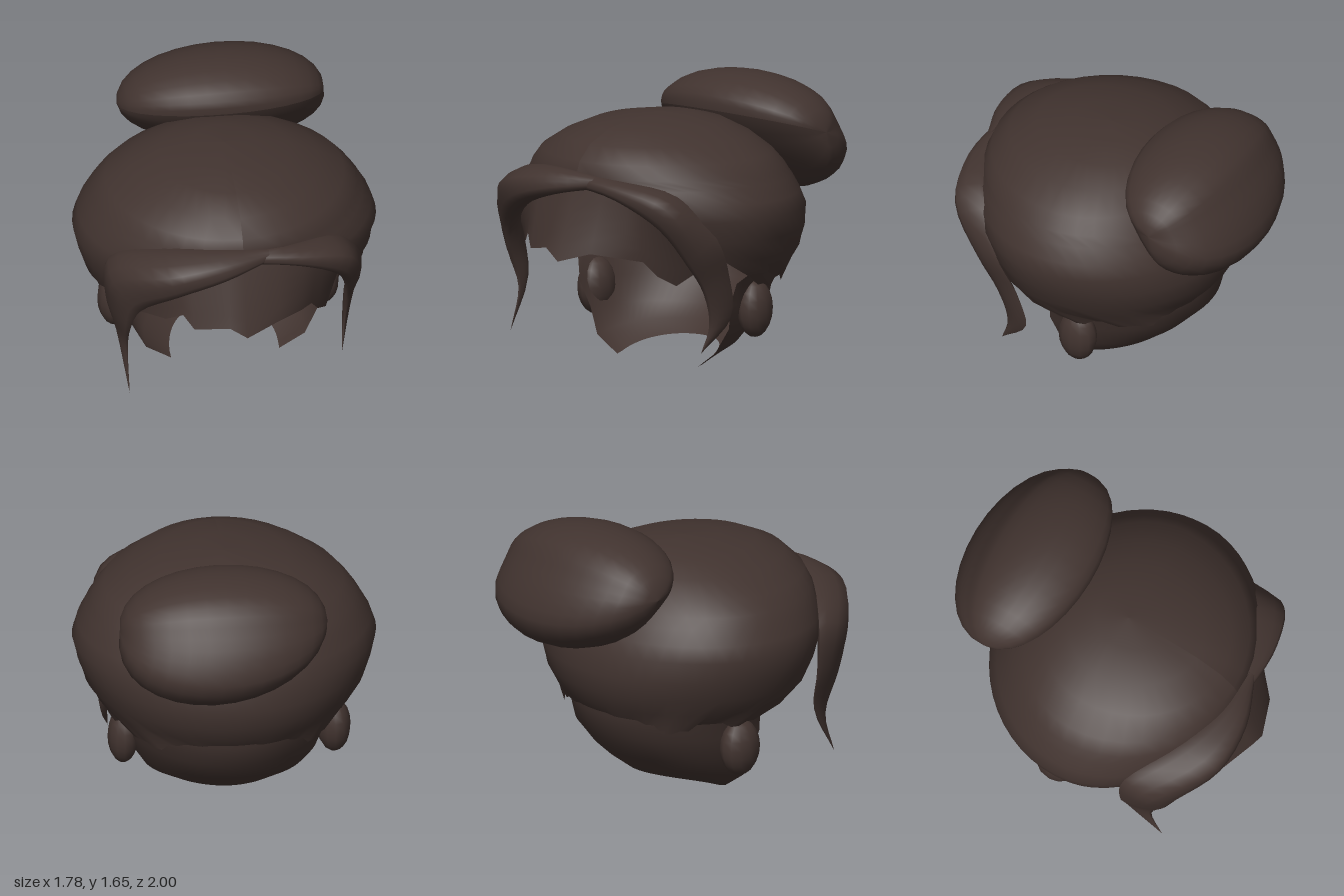
import * as THREE from 'three';

const hair = new THREE.MeshStandardMaterial({ color: 0x41332f, roughness: 0.9, side: THREE.DoubleSide });

// Smooth surface through a list of rows, each holding the same number of points
function loft(name, rows) {
  const n = rows[0].length, pos = [], idx = [];
  rows.forEach(r => r.forEach(p => pos.push(...p)));
  for (let i = 0; i < rows.length - 1; i++) {
    for (let j = 0; j < n - 1; j++) {
      const a = i * n + j, b = a + n;
      idx.push(a, b, a + 1, a + 1, b, b + 1);
    }
  }
  const g = new THREE.BufferGeometry();
  g.setAttribute('position', new THREE.Float32BufferAttribute(pos, 3));
  g.setIndex(idx);
  g.computeVertexNormals();
  const m = new THREE.Mesh(g, hair);
  m.name = name;
  return m;
}

// Horizontal arc around the back of the head, open towards the front from z = open
function arc(y, rx, zb, zf, open, drop = () => 0, n = 40) {
  const cz = 0.1;
  let T = Math.PI;
  if (open < zf) {
    T = open >= cz ? Math.PI / 2 + Math.asin((open - cz) / (zf - cz)) : Math.acos((cz - open) / (cz - zb));
  }
  return Array.from({ length: n + 1 }, (_, j) => {
    const s = j / n * 2 - 1, c = Math.cos(s * T);
    return [rx * Math.sin(s * T), y + drop(s), c > 0 ? cz - (cz - zb) * c : cz - (zf - cz) * c];
  });
}

const curve = (points, closed = false) =>
  new THREE.CatmullRomCurve3(points.map(p => new THREE.Vector3(...p)), closed);

// Swept band with a rounded section, guided by rails that meet in a pointed tip
function band(name, rails, tip) {
  const guides = rails.map(r => curve([...r, tip]));
  const rows = [];
  for (let i = 0; i <= 24; i++) {
    const section = guides.map(g => g.getPoint(i / 24).toArray());
    const ring = i < 24 ? curve(section, true).getPoints(12) : Array(13).fill(new THREE.Vector3(...tip));
    rows.push(ring.map(p => p.toArray()));
  }
  return loft(name, rows);
}

function curl(name, centre, radii) {
  const m = new THREE.Mesh(new THREE.SphereGeometry(1, 12, 10), hair);
  m.position.set(...centre);
  m.scale.set(...radii);
  m.name = name;
  return m;
}

export function createModel() {
  const model = new THREE.Group();
  model.name = 'hair';

  // Cap: closed over the crown, then open around the face, with an uneven hem
  const hemSteps = [0.03, 0.03, 0.02, 0.02, 0, -0.05, -0.03, 0.01, 0.01, -0.02, 0];
  const hem = s => hemSteps[Math.round(Math.abs(s) * 10)];
  model.add(loft('cap', [
    arc(1.475, 0.001, 0.1, 0.1, 9),
    arc(1.465, 0.18, -0.1, 0.34, 9),
    arc(1.43, 0.38, -0.25, 0.56, 9),
    arc(1.36, 0.55, -0.38, 0.72, 9),
    arc(1.27, 0.7, -0.48, 0.81, 9),
    arc(1.19, 0.77, -0.55, 0.84, 9),
    arc(1.13, 0.81, -0.59, 0.85, 0.8),
    arc(1.04, 0.86, -0.64, 0.85, 0.73),
    arc(0.95, 0.89, -0.68, 0.82, 0.65),
    arc(0.82, 0.86, -0.7, 0.78, 0.53),
    arc(0.7, 0.82, -0.68, 0.72, 0.36),
    arc(0.6, 0.76, -0.63, 0.7, 0.18),
    arc(0.52, 0.7, -0.595, 0.7, 0.03, hem),
  ]));

  // Hair over the nape, tucked in below, with a point at each front corner
  const corner = k => s => -k * Math.pow(Math.abs(s), 2.5);
  model.add(loft('nape', [
    arc(0.7, 0.68, -0.62, 0.7, 0.1, corner(0.12)),
    arc(0.53, 0.63, -0.59, 0.7, 0.14),
    arc(0.4, 0.6, -0.56, 0.7, 0.16),
    arc(0.25, 0.55, -0.43, 0.7, 0.12),
    arc(0.17, 0.47, -0.34, 0.7, 0.15, corner(0.07)),
    arc(0.1, 0.32, -0.25, 0.7, 0.14, corner(0.1)),
  ]));

  // Ragged fringe flaring out over the forehead
  const tips = [[-0.6, 0.7], [-0.55, 0.72], [-0.45, 0.74], [-0.36, 0.81], [-0.3, 0.73], [-0.1, 0.77], [0, 0.7],
    [0.2, 0.76], [0.35, 0.73], [0.42, 0.71], [0.47, 0.62], [0.53, 0.56], [0.58, 0.62]];
  const fringe = [];
  for (let i = 0; i <= 5; i++) {
    const v = i / 5;
    fringe.push(tips.map(([x, y]) => {
      const top = 1.16 - 0.45 * x * x;
      const z0 = 0.84 - 0.4 * x * x, z1 = 1.0 - (x > 0 ? 1.6 : 1.05) * x * x;
      return [x * (1.05 - 0.05 * v), top + (y - top) * v, z0 + (z1 - z0) * v];
    }));
  }
  model.add(loft('fringe', fringe));

  // Bands that frame the face: rails along the cap, the crest, the lower edge and the inside
  model.add(band('rightBand', [
    [[0.15, 1.2, 0.83], [-0.15, 1.22, 0.82], [-0.45, 1.18, 0.7], [-0.74, 1.02, 0.5], [-0.76, 0.75, 0.48], [-0.7, 0.5, 0.5]],
    [[0.15, 1.18, 0.86], [-0.15, 1.18, 0.95], [-0.45, 1.13, 0.94], [-0.75, 0.97, 0.7], [-0.74, 0.72, 0.62], [-0.69, 0.48, 0.56]],
    [[0.15, 1.14, 0.86], [-0.12, 1.09, 0.96], [-0.4, 0.99, 0.94], [-0.6, 0.82, 0.8], [-0.65, 0.64, 0.72], [-0.65, 0.42, 0.63]],
    [[0.15, 1.13, 0.81], [-0.12, 1.08, 0.86], [-0.38, 0.99, 0.8], [-0.6, 0.84, 0.66], [-0.66, 0.66, 0.58], [-0.66, 0.46, 0.54]],
  ], [-0.65, 0.17, 0.7]));
  model.add(band('leftBand', [
    [[-0.05, 1.21, 0.83], [0.3, 1.18, 0.77], [0.58, 1.1, 0.58], [0.75, 0.85, 0.44], [0.73, 0.6, 0.31], [0.7, 0.36, 0.26]],
    [[-0.05, 1.18, 0.86], [0.34, 1.15, 0.87], [0.65, 1.05, 0.77], [0.73, 0.78, 0.57], [0.72, 0.58, 0.42], [0.7, 0.36, 0.34]],
    [[-0.05, 1.14, 0.86], [0.33, 1.09, 0.87], [0.59, 0.93, 0.77], [0.66, 0.7, 0.6], [0.67, 0.52, 0.47], [0.66, 0.32, 0.41]],
    [[-0.05, 1.13, 0.81], [0.3, 1.08, 0.79], [0.55, 0.92, 0.64], [0.65, 0.7, 0.49], [0.66, 0.55, 0.39], [0.66, 0.35, 0.34]],
  ], [0.64, 0.16, 0.46]));

  // Small curls beside the neck
  model.add(curl('rightCurl', [-0.63, 0.35, -0.02], [0.1, 0.17, 0.13]));
  model.add(curl('leftCurl', [0.61, 0.36, -0.04], [0.09, 0.17, 0.12]));

  // Bun: one lopsided side profile [z, y], shrunk towards both ends of its width
  const profile = curve([[-0.21, 1.45], [-0.23, 1.55], [-0.4, 1.635], [-0.6, 1.64], [-0.78, 1.57], [-0.87, 1.45],
    [-0.96, 1.3], [-1.0, 1.13], [-0.89, 0.99], [-0.68, 0.95], [-0.48, 1.1], [-0.3, 1.3]].map(([z, y]) => [0, y, z]), true)
    .getPoints(30);
  const bun = [];
  for (let i = 0; i <= 16; i++) {
    const a = i / 16 * Math.PI, k = Math.pow(Math.sin(a), 0.9) + 0.001;
    const low = 0.1 * Math.sin(a); // the lower half leans to the left
    bun.push(profile.map(p => [0.08 - 0.61 * Math.cos(a) + low * Math.max(0, 1.34 - p.y) / 0.4,
      1.34 + (p.y - 1.34) * k, -0.57 + (p.z + 0.57) * k]));
  }
  model.add(loft('bun', bun));

  return model;
}
